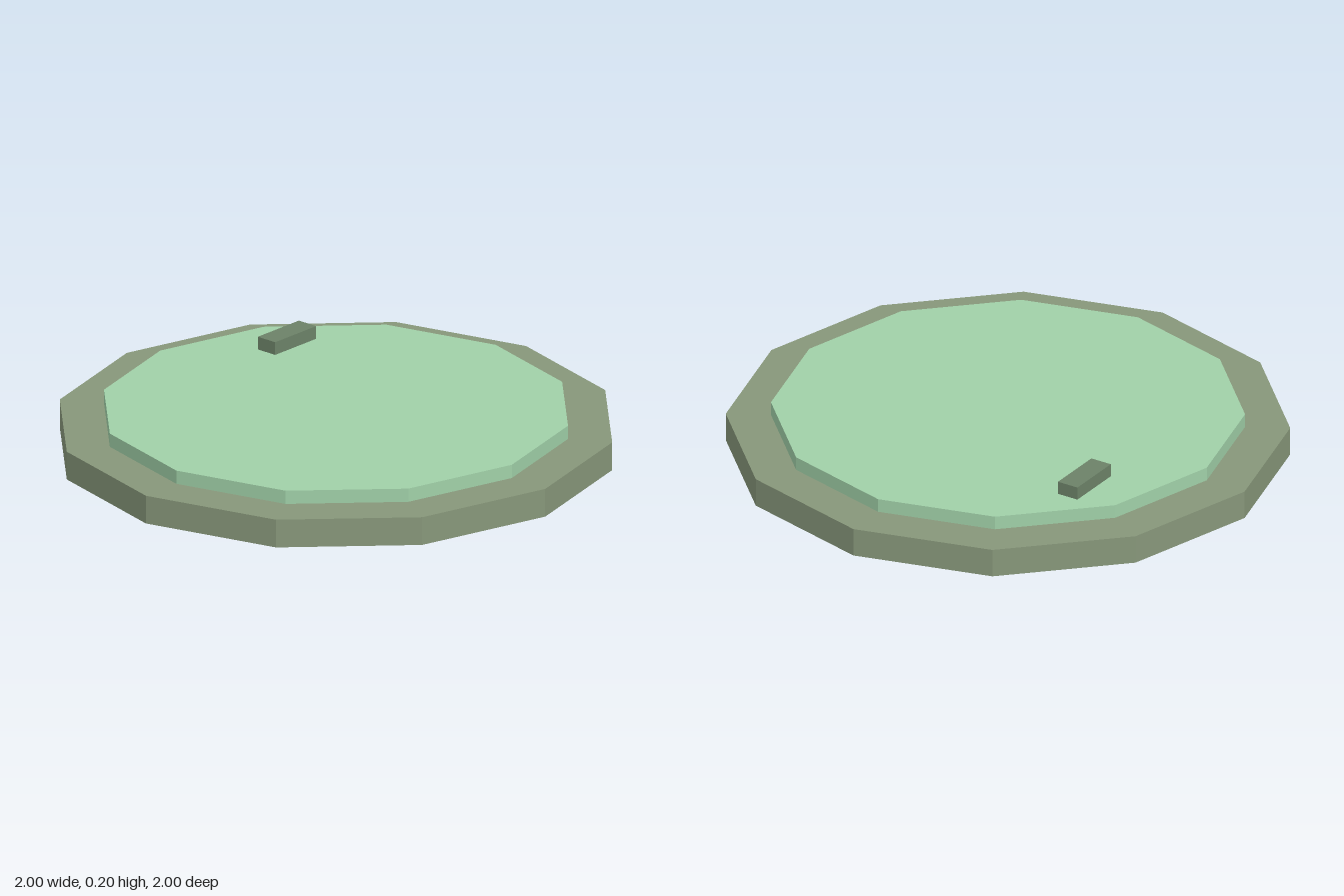
import * as THREE from 'three';

const BASE_TOP = 0.105, PLATE_TOP = 0.155, BAR_TOP = 0.203;

function part(name, geometry, color, x, bottom, top, z) {
  const material = new THREE.MeshStandardMaterial({ color, flatShading: true });
  const mesh = new THREE.Mesh(geometry, material);
  mesh.name = name;
  mesh.position.set(x, (bottom + top) / 2, z);
  return mesh;
}

// Twelve-sided disc with corners on the x and z axes
const disc = (radius, height) => new THREE.CylinderGeometry(radius, radius, height, 12);

export function createModel() {
  const model = new THREE.Group();
  model.name = 'steppedDisc';
  model.add(
    // Wide lower disc
    part('base', disc(1, BASE_TOP), 0x87977a, 0, 0, BASE_TOP, 0),
    // Narrower raised disc
    part('topPlate', disc(0.84, PLATE_TOP - BASE_TOP), 0xa0d0a8, 0, BASE_TOP, PLATE_TOP, 0),
    // Small bar lying off-centre towards the back
    part('bar', new THREE.BoxGeometry(0.216, BAR_TOP - PLATE_TOP, 0.082), 0x6c8268, 0.349, PLATE_TOP, BAR_TOP, -0.551),
  );
  return model;
}
